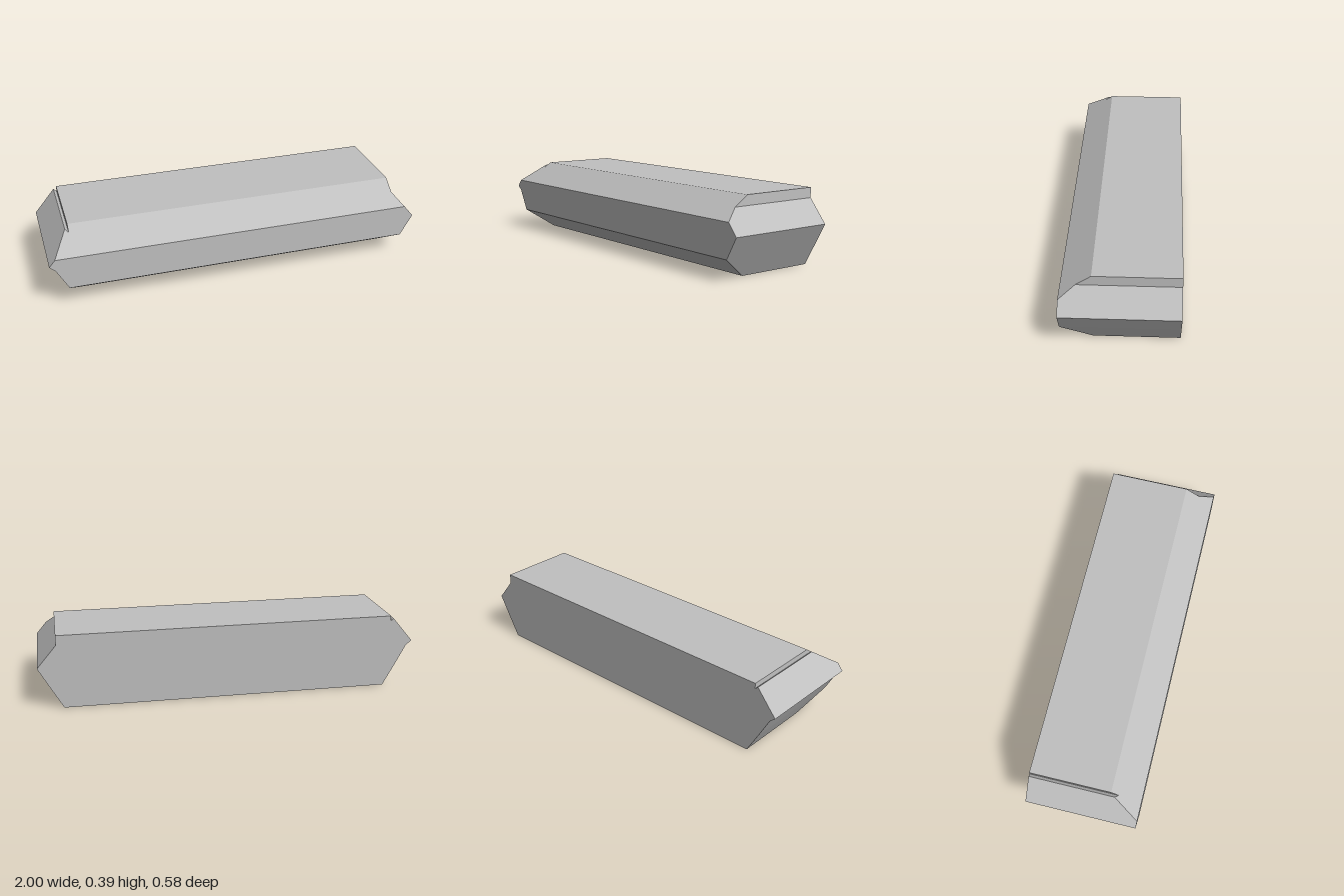
import * as THREE from 'three';
import { mergeGeometries } from 'three/addons/utils/BufferGeometryUtils.js';

const HEIGHT = 0.392, LOW = 0.108, HIGH = 0.284, BACK = -0.292, FRONT = 0.292, INSET = 0.135;

// Outline seen from the front, counter-clockwise; includes the bevel lines.
const outline = [
  [-0.848, 0], [0.874, 0], [0.936, LOW], [1, 0.221], [0.947, HIGH], [0.9, 0.34], [0.9, HEIGHT],
  [-0.876, HEIGHT], [-0.876, 0.364], [-0.892, 0.377], [-0.969, HIGH], [-1, 0.247], [-0.97, 0.221], [-0.909, LOW],
];

// Depth of the front at a given height: upright in the middle, bevelled above and below.
function frontZ(y) {
  if (y < LOW) return INSET + (FRONT - INSET) * y / LOW;
  if (y > HIGH) return FRONT - (FRONT - INSET) * (y - HIGH) / (HEIGHT - HIGH);
  return FRONT;
}

// Flat face through the listed outline points, with depth set by a rule.
function face(indices, depth, flip = false) {
  const points = indices.map((i) => new THREE.Vector2(...outline[i]));
  const positions = [];
  for (const tri of THREE.ShapeUtils.triangulateShape(points, [])) {
    const [a, b, c] = tri.map((i) => points[i]);
    const ccw = (b.x - a.x) * (c.y - a.y) - (b.y - a.y) * (c.x - a.x) > 0;
    const order = ccw !== flip ? [a, b, c] : [a, c, b];
    for (const p of order) positions.push(p.x, p.y, depth(p.y));
  }
  return toGeometry(positions);
}

// Walls joining the front edge of the outline to the back edge.
function walls() {
  const positions = [];
  outline.forEach(([x0, y0], i) => {
    const [x1, y1] = outline[(i + 1) % outline.length];
    const a = [x0, y0, BACK], b = [x1, y1, BACK];
    const c = [x1, y1, frontZ(y1)], d = [x0, y0, frontZ(y0)];
    positions.push(...a, ...b, ...c, ...a, ...c, ...d);
  });
  return toGeometry(positions);
}

function toGeometry(positions) {
  const g = new THREE.BufferGeometry();
  g.setAttribute('position', new THREE.Float32BufferAttribute(positions, 3));
  g.computeVertexNormals();
  return g;
}

export function createModel() {
  const group = new THREE.Group();
  group.name = 'bevelledBlock';
  const grey = new THREE.MeshStandardMaterial({ color: 0xc0c0c0 });
  grey.name = 'lightGrey';

  const add = (name, geometry) => {
    const mesh = new THREE.Mesh(geometry, grey);
    mesh.name = name;
    group.add(mesh);
  };

  // Front: lower bevel, upright band, upper bevel
  add('frontFaces', mergeGeometries([
    face([0, 1, 2, 13], frontZ),
    face([13, 2, 3, 4, 10, 11, 12], frontZ),
    face([10, 4, 5, 6, 7, 8, 9], frontZ),
  ]));
  // Flat back
  add('backFace', face(outline.map((_, i) => i), () => BACK, true));
  // Top, underside and sloped ends
  add('topBottomAndEnds', walls());
  return group;
}
